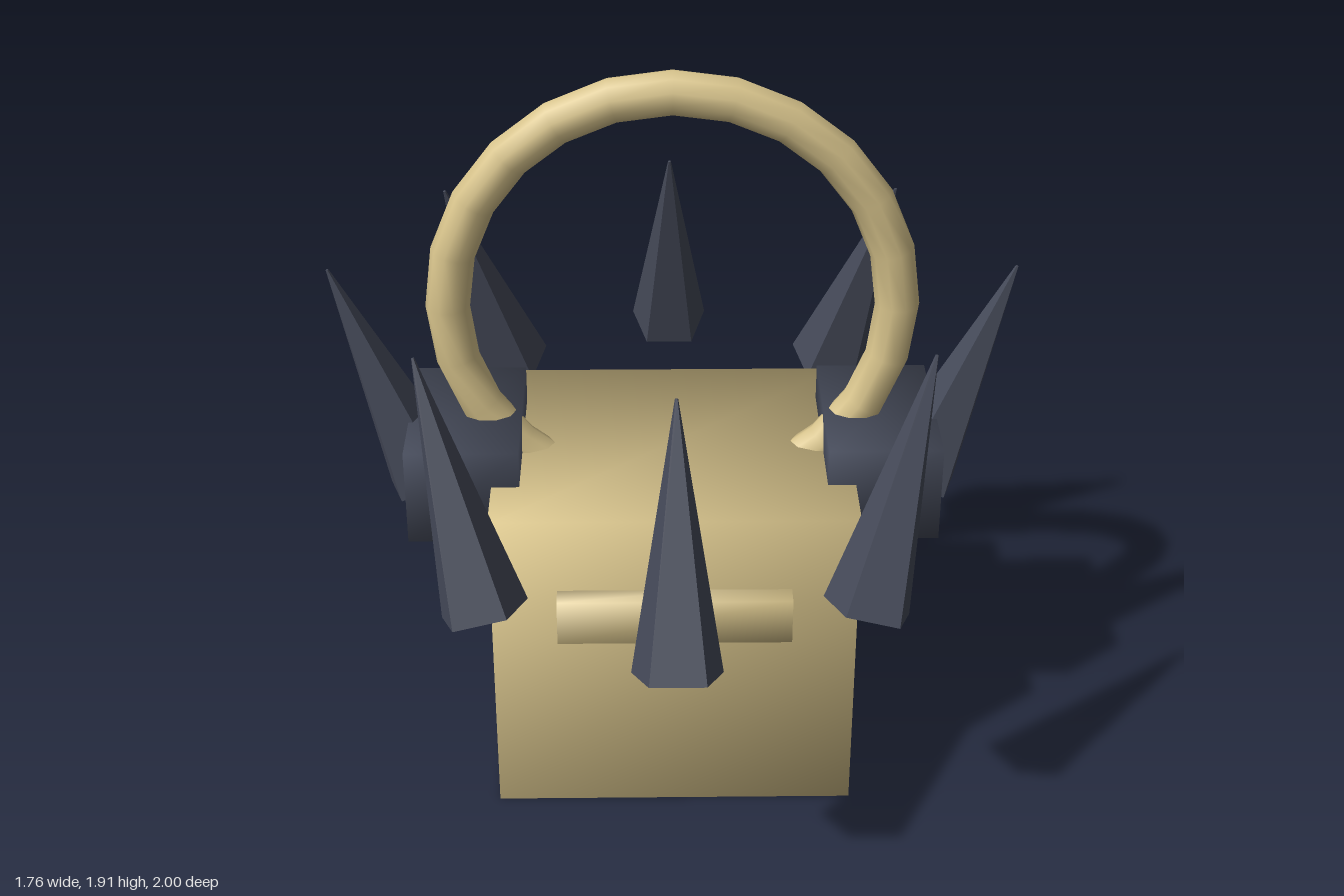
import * as THREE from 'three';
import { mergeVertices } from 'three/addons/utils/BufferGeometryUtils.js';

const material = (name, color, flatShading = false) => {
  const m = new THREE.MeshStandardMaterial({ color, flatShading });
  m.name = name;
  return m;
};

// Box whose corners share one normal, giving soft shading across the faces
function softBox(min, max) {
  const size = max.map((v, i) => v - min[i]);
  const box = new THREE.BoxGeometry(...size);
  box.deleteAttribute('normal');
  box.deleteAttribute('uv');
  const g = mergeVertices(box);
  g.computeVertexNormals();
  g.translate(...max.map((v, i) => (v + min[i]) / 2));
  return g;
}

export function createModel() {
  const group = new THREE.Group();
  const tan = material('sand', 0xd8c48c);
  const dark = material('slate', 0x454a59, true);
  const darkSoft = dark.clone();
  darkSoft.flatShading = false;

  const add = (name, geometry, mat) => {
    const mesh = new THREE.Mesh(geometry, mat);
    mesh.name = name;
    group.add(mesh);
    return mesh;
  };

  // Square body with a bar across the front
  add('body', softBox([-0.467, 0, -0.39], [0.467, 0.873, 0.41]), tan);
  add('frontBar', softBox([-0.298, 0.545, 0.38], [0.298, 0.67, 0.465]), tan);

  // Large upright ring sunk into the top
  const ring = add('ringHandle', new THREE.TorusGeometry(0.574, 0.057, 10, 24), tan);
  ring.position.set(0, 1.28, 0.012);

  // Shoulder blocks
  add('leftBlock', softBox([0.395, 0.71, -0.223], [0.687, 0.972, 0.238]), darkSoft);
  add('rightBlock', softBox([-0.687, 0.71, -0.223], [-0.395, 0.972, 0.238]), darkSoft);

  // Five-sided spikes: base centre (x, z) and tip (x, z)
  const baseY = 0.771, tipY = 1.383, length = 0.65;
  const spikes = [
    [0, 0.913, 0, 0.69],
    [0, -0.897, 0, -0.675],
  ];
  for (const s of [-1, 1]) {
    spikes.push([s * 0.652, 0.01, s * 0.875, 0.01]);
    spikes.push([s * 0.465, 0.65, s * 0.615, 0.488]);
    spikes.push([s * 0.465, -0.636, s * 0.615, -0.475]);
  }
  const spikeGeometry = new THREE.CylinderGeometry(0.004, 0.1135, length, 5, 1, false, Math.PI);
  spikeGeometry.translate(0, length / 2, 0);
  const up = new THREE.Vector3(0, 1, 0);
  spikes.forEach(([bx, bz, tx, tz], i) => {
    const spike = add(`spike${i + 1}`, spikeGeometry, dark);
    spike.position.set(bx, baseY, bz);
    const axis = new THREE.Vector3(tx - bx, tipY - baseY, tz - bz).normalize();
    spike.quaternion.setFromUnitVectors(up, axis);
  });
  return group;
}
